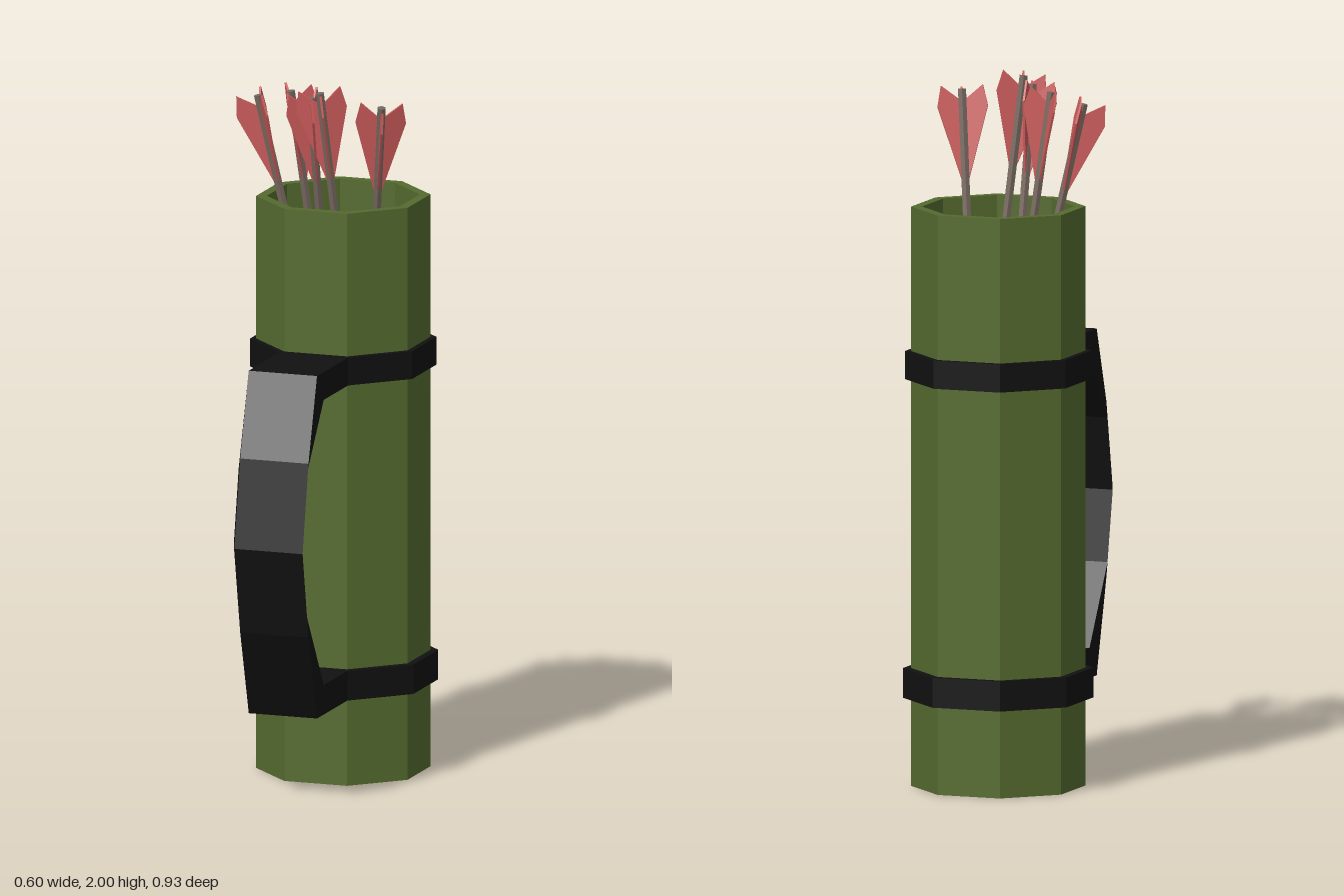
import * as THREE from 'three';

const mat = (color) => new THREE.MeshStandardMaterial({ color, flatShading: true, side: THREE.DoubleSide });
const AXIS_X = 0.03, AXIS_Z = -0.2;

export function createModel() {
  const green = mat(0x556b2f), black = mat(0x111111), wood = mat(0x75675e), red = mat(0xcd5c5c);
  const model = new THREE.Group();
  const add = (parent, name, geometry, material) => {
    const mesh = new THREE.Mesh(geometry, material);
    mesh.name = name;
    parent.add(mesh);
    return mesh;
  };

  // Eight-sided turned parts around the tube axis
  const turned = (name, profile, material) => {
    const points = profile.map(([r, y]) => new THREE.Vector2(r, y));
    add(model, name, new THREE.LatheGeometry(points, 8), material).position.set(AXIS_X, 0, AXIS_Z);
  };
  turned('tube', [[0, 0], [0.245, 0], [0.245, 1.645], [0.215, 1.645], [0.215, 0.03], [0, 0.03]], green);
  const band = (name, r, y0, y1) =>
    turned(name, [[0.235, y0], [r, y0], [r, y1], [0.235, y1], [0.235, y0]], black);
  band('lowerBand', 0.267, 0.25, 0.335);
  band('upperBand', 0.262, 1.155, 1.235);

  // Carrying handle: [outer reach, outer y, inner reach, inner y, sideways shift of outer edge]
  const sections = [
    [0.222, 1.235, 0.222, 1.155, 0],
    [0.495, 1.235, 0.44, 1.155, 0],
    [0.62, 1.01, 0.578, 0.97, 0.02],
    [0.668, 0.76, 0.618, 0.76, 0.02],
    [0.62, 0.51, 0.578, 0.56, 0.02],
    [0.495, 0.25, 0.44, 0.335, 0],
    [0.222, 0.25, 0.222, 0.335, 0],
  ];
  const half = 0.102, positions = [], index = [];
  sections.forEach(([zo, yo, zi, yi, shift], i) => {
    positions.push(half + shift, yo, zo, -half + shift, yo, zo, -half, yi, zi, half, yi, zi);
    if (i === sections.length - 1) return;
    for (let j = 0; j < 4; j++) {
      const a = i * 4 + j, b = i * 4 + (j + 1) % 4;
      index.push(a, b, b + 4, a, b + 4, a + 4);
    }
  });
  const handleGeometry = new THREE.BufferGeometry();
  handleGeometry.setAttribute('position', new THREE.Float32BufferAttribute(positions, 3));
  handleGeometry.setIndex(index);
  handleGeometry.computeVertexNormals();
  const handle = add(model, 'handle', handleGeometry, black);
  handle.position.set(AXIS_X, 0, AXIS_Z);
  handle.rotation.y = -Math.PI / 8;

  // One feather vane, measured from the top end of the shaft
  const vaneShape = new THREE.Shape([[0, -0.29], [0.072, -0.05], [0.06, 0.01], [0.008, -0.03], [0, -0.03]]
    .map(([x, y]) => new THREE.Vector2(x, y)));
  const vaneGeometry = new THREE.ExtrudeGeometry(vaneShape, { depth: 0.006, bevelEnabled: false });
  vaneGeometry.translate(0, 0, -0.003);

  // Arrows: [top x, y, z, bottom x, z, angle of the main vane]
  const arrows = [
    [-0.21, 1.935, -0.2, 0.22, -0.2, Math.PI],
    [-0.12, 1.96, -0.14, 0.15, -0.225, 0],
    [-0.07, 1.965, -0.02, 0.085, -0.31, Math.PI * 0.95],
    [-0.045, 1.985, 0.012, 0.195, -0.155, -Math.PI / 2],
    [0.128, 1.945, 0.028, 0.06, -0.36, -Math.PI / 2],
  ];
  for (const [x, y, z, bx, bz, angle] of arrows) {
    const arrow = new THREE.Group();
    arrow.name = 'arrow';
    const top = new THREE.Vector3(x, y, z);
    const along = top.clone().sub(new THREE.Vector3(bx, 0.04, bz));
    const length = along.length();
    arrow.position.copy(top);
    arrow.quaternion.setFromUnitVectors(new THREE.Vector3(0, 1, 0), along.normalize());
    const shaft = new THREE.CylinderGeometry(0.013, 0.013, length, 6);
    add(arrow, 'shaft', shaft.translate(0, -length / 2, 0), wood);
    for (const turn of [0, 1.75, -1.75])
      add(arrow, 'vane', vaneGeometry, red).rotation.y = angle + turn;
    model.add(arrow);
  }
  return model;
}
